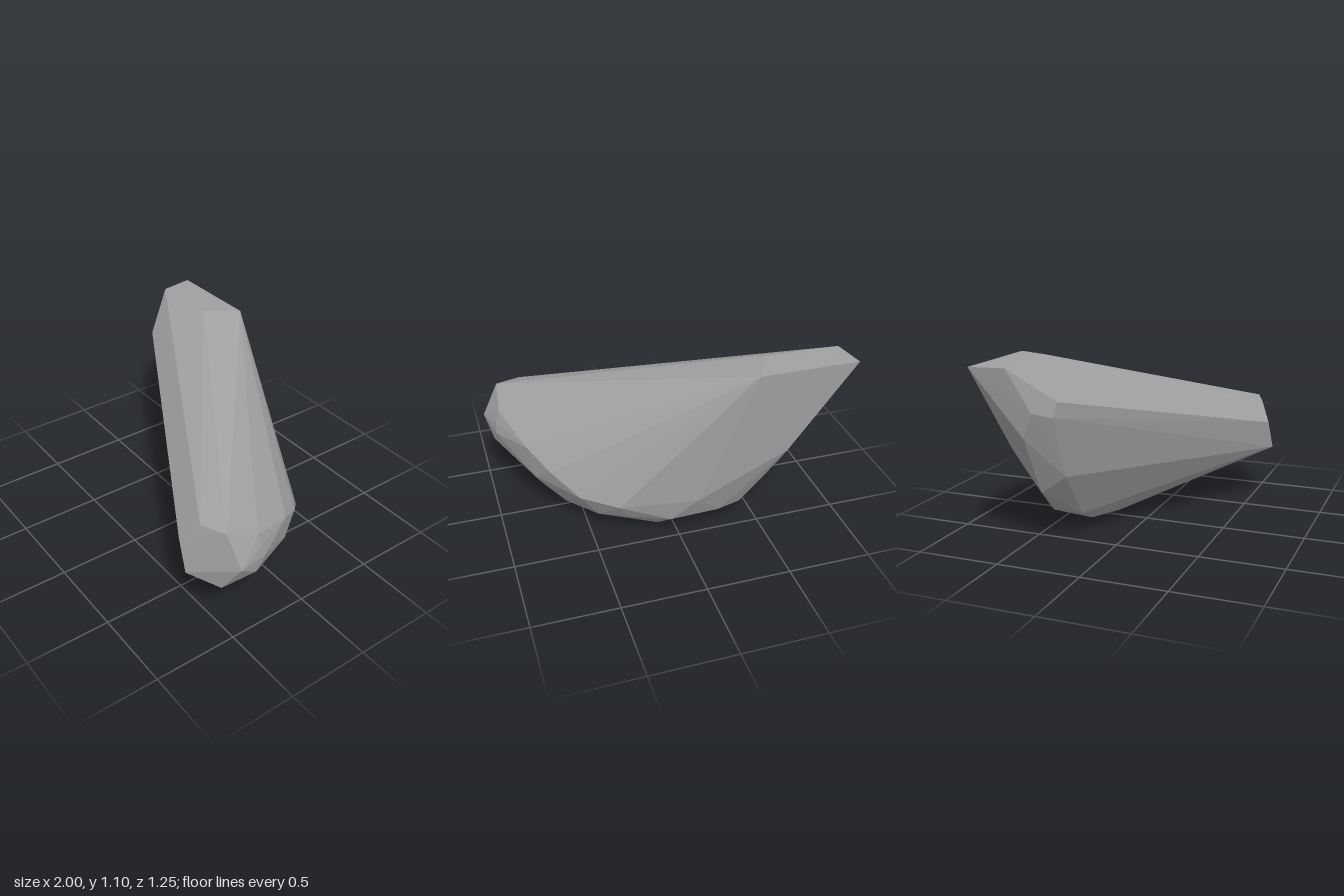
import * as THREE from 'three';
import { ConvexGeometry } from 'three/addons/geometries/ConvexGeometry.js';

// Corner points of the faceted boulder, grouped by region
const corners = [
  // raised end
  [-1, 1.09, -0.625], [-0.41, 1.09, -0.625], [-0.97, 1.09, -0.42], [-0.53, 1.1, -0.42],
  [-0.81, 0.895, -0.2], [-0.9, 0.84, -0.31], [-0.83, 0.81, -0.22],
  // blunt nose
  [0.65, 0.53, 0.61], [0.75, 0.65, 0.54], [0.9, 0.66, 0.48],
  [1, 0.465, 0.455], [0.73, 0.345, 0.625], [0.89, 0.285, 0.5],
  // rounded flank
  [0.92, 0.575, 0.285], [0.945, 0.505, 0.275], [0.95, 0.44, 0.25], [0.96, 0.36, 0.32],
  [0.81, 0.475, -0.01], [0.77, 0.28, -0.05], [0.74, 0.185, 0.035],
  [0.7, 0.38, -0.18], [0.56, 0.265, -0.32], [0.35, 0.235, -0.445],
  // back
  [-0.62, 0.55, -0.594], [-0.1, 0.265, -0.545], [0.05, 0.115, -0.485], [-0.25, 0.12, -0.48],
  // sloping end
  [-0.87, 0.69, -0.38], [-0.66, 0.32, -0.39], [-0.67, 0.435, -0.23],
  [-0.4, 0.13, -0.26], [-0.4, 0.13, -0.45],
  // underside
  [0.77, 0.2, 0.33], [0.61, 0.115, -0.12], [0.45, 0.11, -0.3], [0.3, 0.13, -0.4],
  [-0.24, 0.05, -0.27], [-0.09, 0.015, -0.3], [0.08, 0.0, -0.225],
  [0.22, 0.02, -0.25], [0.1, 0.02, -0.375],
];

export function createModel() {
  const stone = new THREE.MeshStandardMaterial({ color: 0xa0a0a0 });
  stone.name = 'grey stone';

  // Convex hull gives flat, crisp facets
  const points = corners.map(([x, y, z]) => new THREE.Vector3(x, y, z));
  const boulder = new THREE.Mesh(new ConvexGeometry(points), stone);
  boulder.name = 'boulder';

  const group = new THREE.Group();
  group.name = 'rock';
  group.add(boulder);
  return group;
}
